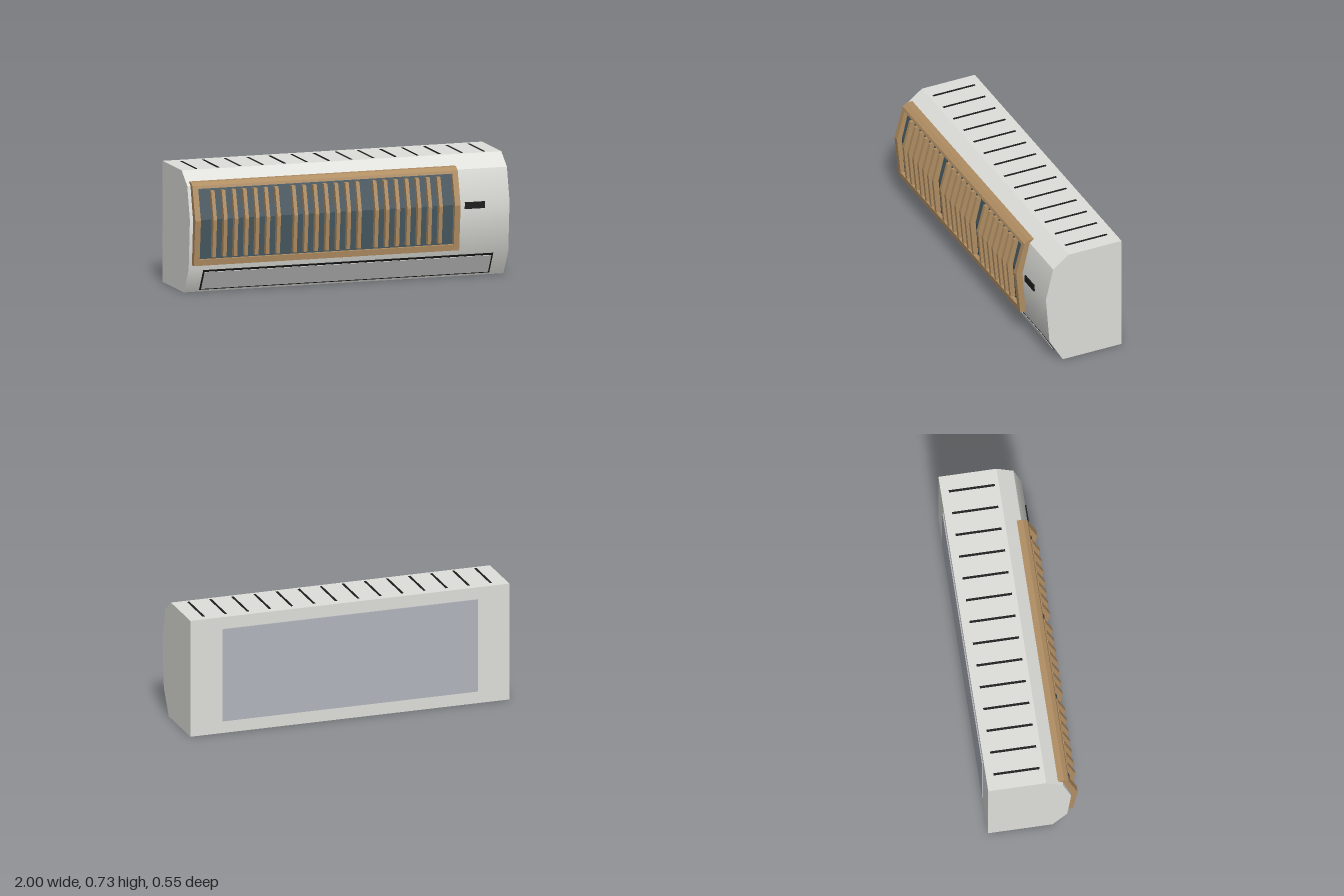
import * as THREE from 'three';
import { toCreasedNormals } from 'three/addons/utils/BufferGeometryUtils.js';

const mat = (name, color) => {
  const m = new THREE.MeshStandardMaterial({ color });
  m.name = name;
  return m;
};

// Extrude a [z, y] side profile along x from x0 to x1
function prism(profile, x0, x1) {
  const shape = new THREE.Shape(profile.map(([z, y]) => new THREE.Vector2(-z, y)));
  return new THREE.ExtrudeGeometry(shape, { depth: x1 - x0, bevelEnabled: false })
    .rotateY(Math.PI / 2)
    .translate(x0, 0, 0);
}

export function createModel() {
  const shell = mat('shell white', 0xdededa);
  const flapGrey = mat('flap grey', 0xd4d4d4);
  const wood = mat('wood', 0xb08d62);
  const slate = mat('slate', 0x46575f);
  const black = mat('black', 0x1c1c1c);
  const plateGrey = mat('mounting plate grey', 0xb2b4bd);

  const model = new THREE.Group();
  model.name = 'wallAirConditioner';
  const add = (name, geometry, material, parent = model) => {
    const mesh = new THREE.Mesh(geometry, material);
    mesh.name = name;
    parent.add(mesh);
    return mesh;
  };
  const group = (name) => {
    const g = new THREE.Group();
    g.name = name;
    model.add(g);
    return g;
  };
  const box = (x0, x1, y0, y1, z0, z1) =>
    new THREE.BoxGeometry(x1 - x0, y1 - y0, z1 - z0)
      .translate((x0 + x1) / 2, (y0 + y1) / 2, (z0 + z1) / 2);

  // Housing with softly rounded front
  const housing = [[-0.265, 0], [0.12, 0], [0.208, 0.15], [0.231, 0.45],
    [0.183, 0.65], [0.082, 0.726], [-0.265, 0.726]];
  add('housing', toCreasedNormals(prism(housing, -1, 1), 0.56), shell);

  // Grille: backing panel, frame and three sets of slats
  const grille = group('grille');
  add('grillePanel', prism([[0.2, 0.2], [0.222, 0.2], [0.24, 0.45], [0.193, 0.65],
    [0.17, 0.65], [0.22, 0.45]], -0.96, 0.66), slate, grille);

  const frameSide = [[0.245, 0.177], [0.272, 0.45], [0.218, 0.652], [0.192, 0.671],
    [0.155, 0.671], [0.18, 0.65], [0.228, 0.45], [0.208, 0.177]];
  add('frameEnd', prism(frameSide, -0.98, -0.945), wood, grille);
  add('frameEnd', prism(frameSide, 0.645, 0.68), wood, grille);
  add('frameTop', prism([[0.223, 0.635], [0.218, 0.652], [0.192, 0.671],
    [0.155, 0.671], [0.18, 0.635]], -0.945, 0.645), wood, grille);
  add('frameBottom', prism([[0.208, 0.177], [0.245, 0.177], [0.249, 0.213],
    [0.21, 0.213]], -0.945, 0.645), wood, grille);

  const slat = [[0.22, 0.225], [0.254, 0.225], [0.2745, 0.45], [0.23, 0.62],
    [0.19, 0.62], [0.235, 0.45]];
  for (const start of [-0.856, -0.35, 0.157]) {
    for (let i = 0; i < 7; i++) {
      const x = start + i * 0.0667;
      add('slat', prism(slat, x - 0.011, x + 0.011), wood, grille);
    }
  }

  // Display window
  add('display', box(0.72, 0.845, 0.42, 0.46, 0.222, 0.237), black);

  // Air outlet: dark seam with the flap over it
  const outlet = group('airOutlet');
  add('outletSeam', prism([[0.125, 0.014], [0.131, 0.012], [0.206, 0.142],
    [0.2, 0.144]], -0.907, 0.907), black, outlet);
  add('outletFlap', prism([[0.128, 0.022], [0.139, 0.018], [0.201, 0.128],
    [0.194, 0.134]], -0.897, 0.897), flapGrey, outlet);

  // Top vents
  const vents = group('topVents');
  for (let i = 0; i < 14; i++) {
    const x = -0.9 + (i * 1.8) / 13;
    add('vent', box(x - 0.007, x + 0.007, 0.722, 0.728, -0.218, 0.057), black, vents);
  }

  // Wall mounting plate
  add('mountingPlate', box(-0.8, 0.8, 0.075, 0.652, -0.272, -0.264), plateGrey);

  return model;
}
